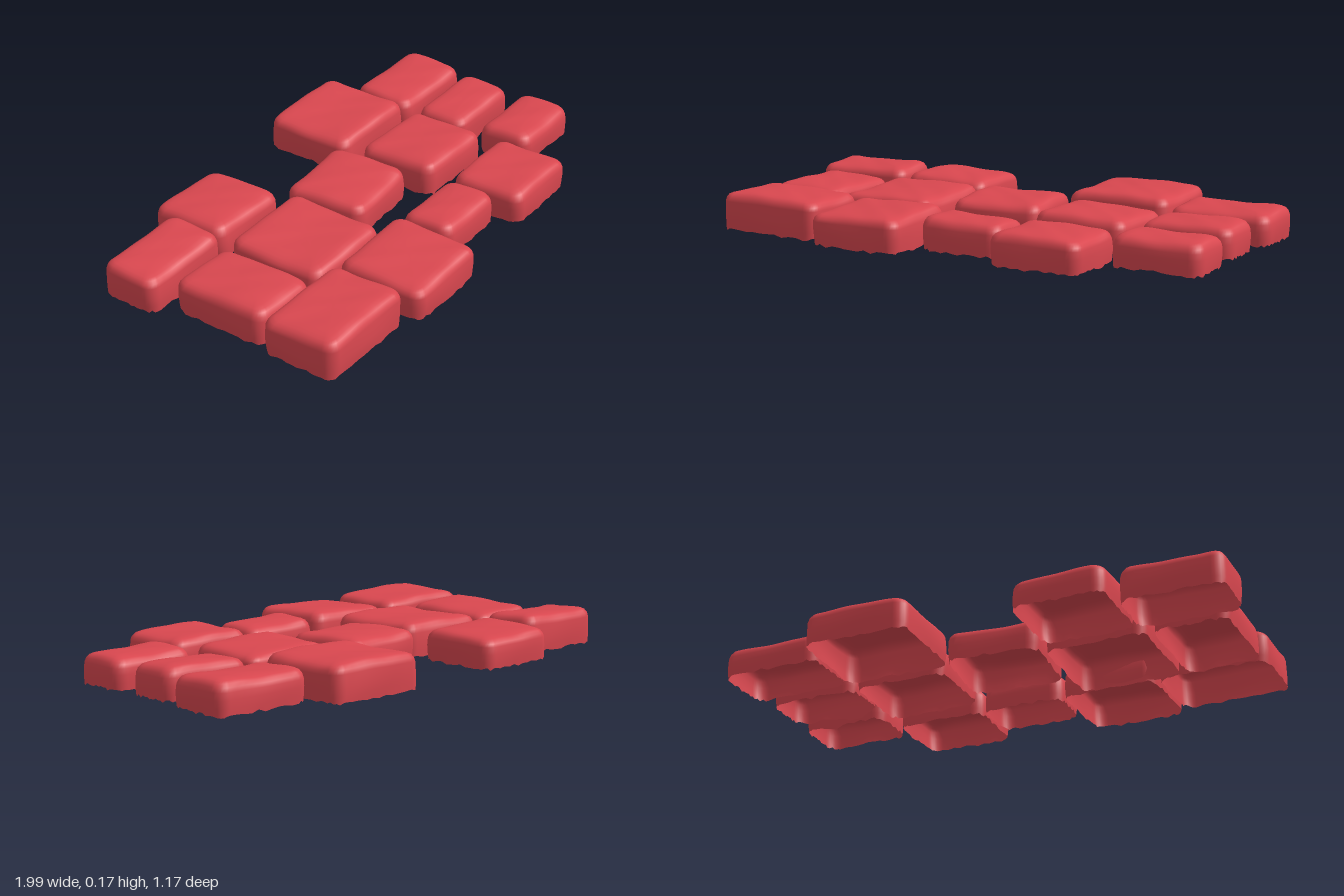
import * as THREE from 'three';

const material = new THREE.MeshStandardMaterial({ color: 0xd9474f, side: THREE.DoubleSide });

// name, x min, x max, z min, z max, top height, turn, optional sag [x, z, depth]
const STONES = [
  ['backStone', -1.0, -0.6, -0.45, -0.21, 0.168, 0],
  ['backStone', -0.597, -0.235, -0.557, -0.225, 0.152, 0],
  ['backStone', 0.155, 0.58, -0.593, -0.21, 0.165, 0],
  ['backStone', 0.585, 0.992, -0.472, -0.21, 0.146, -0.015],
  ['middleStone', -0.925, -0.628, -0.18, 0.22, 0.156, 0],
  ['middleStone', -0.61, -0.205, -0.185, 0.225, 0.154, 0],
  ['turnedStone', -0.193, 0.173, -0.25, 0.088, 0.152, 0.09],
  ['middleStone', 0.207, 0.588, -0.177, 0.158, 0.15, -0.01],
  ['middleStone', 0.592, 0.96, -0.167, 0.05, 0.147, -0.02],
  ['frontStone', 0.615, 0.97, 0.108, 0.335, 0.144, 0.01],
  ['frontStone', -0.942, -0.505, 0.222, 0.532, 0.172, 0],
  ['frontStone', -0.495, -0.112, 0.22, 0.582, 0.156, -0.01],
  ['frontStone', -0.105, 0.232, 0.225, 0.443, 0.149, 0],
  ['frontStone', 0.236, 0.602, 0.228, 0.535, 0.15, 0],
];
STONES[8][7] = [-0.07, 0.11, 0.03];
STONES[9][7] = [0.04, -0.11, 0.018];

const BASE = 0.03, ARC = 6, EDGE = 10;

function seeded(seed) {
  let s = seed * 7919 + 17;
  return () => ((s = (s * 16807) % 2147483647) / 2147483647);
}

// Closed rounded-rectangle loop, with the same point count for every inset
function outline(w, d, inset, radius) {
  const r = Math.max(radius - inset * 0.6, 0.012);
  const hx = w / 2 - inset - r, hz = d / 2 - inset - r;
  const centres = [[hx, hz], [-hx, hz], [-hx, -hz], [hx, -hz]];
  const points = [];
  centres.forEach(([cx, cz], q) => {
    for (let i = 0; i <= ARC; i++) {
      const a = (q + i / ARC) * Math.PI / 2;
      points.push([cx + r * Math.cos(a), cz + r * Math.sin(a)]);
    }
    const a = (q + 1) * Math.PI / 2;
    const from = points[points.length - 1];
    const [nx, nz] = centres[(q + 1) % 4];
    const to = [nx + r * Math.cos(a), nz + r * Math.sin(a)];
    for (let i = 1; i < EDGE; i++) {
      points.push([from[0] + (to[0] - from[0]) * i / EDGE, from[1] + (to[1] - from[1]) * i / EDGE]);
    }
  });
  return points;
}

// Worn stone: a hollow shell, open below, lofted from the ragged rim to the crown
function stoneGeometry(w, d, top, seed, sag) {
  const random = seeded(seed + 1);
  const phase = [0, 1, 2, 3].map(() => random() * Math.PI * 2);
  const profile = [
    [0.003, BASE], [0.001, 0.055], [0, 0.085], [0.002, top - 0.036], [0.007, top - 0.022],
    [0.016, top - 0.011], [0.029, top - 0.005], [0.047, top - 0.001], [0.07, top],
  ];
  const rings = profile.map(([inset, y]) => outline(w, d, inset, 0.047).map(([x, z]) => [x, y, z]));
  const crown = rings[rings.length - 1];
  for (const k of [0.75, 0.5, 0.25]) rings.push(crown.map(([x, , z]) => [x * k, top + 0.001, z * k]));

  const n = crown.length, positions = [], index = [];
  const weather = ([x, y, z], ring) => {
    // gentle bulges on the sides, growing undulation towards the top
    const side = 1 + 0.009 * Math.sin(x * 17 + z * 13 + y * 25 + phase[0]) - 0.009;
    const lift = THREE.MathUtils.smoothstep(y, 0.09, top);
    let ny = y + lift * (0.004 * Math.sin(x * 12 + phase[1]) + 0.004 * Math.sin(z * 14 + phase[2])
      + 0.0012 * Math.sin((x - z) * 38 + phase[3]));
    if (ring === 0) {
      ny += (random() - 0.45) * 0.012;
      if (sag) ny -= sag[2] * Math.exp(-((x - sag[0]) ** 2 + (z - sag[1]) ** 2) / 0.003);
    }
    positions.push(x * side, Math.max(ny, 0), z * side);
  };
  rings.forEach((ring, i) => ring.forEach((p) => weather(p, i)));
  weather([0, top + 0.001, 0], rings.length);

  for (let r = 0; r < rings.length; r++) {
    for (let i = 0; i < n; i++) {
      const j = (i + 1) % n, a = r * n + i, b = r * n + j;
      if (r === rings.length - 1) index.push(a, rings.length * n, b);
      else index.push(a, a + n, b, b, a + n, b + n);
    }
  }
  const geometry = new THREE.BufferGeometry();
  geometry.setAttribute('position', new THREE.Float32BufferAttribute(positions, 3));
  geometry.setIndex(index);
  geometry.computeVertexNormals();
  return geometry;
}

export function createModel() {
  const group = new THREE.Group();
  group.name = 'pavingStones';
  STONES.forEach(([name, x0, x1, z0, z1, top, turn, sag], i) => {
    const stone = new THREE.Mesh(stoneGeometry(x1 - x0, z1 - z0, top, i, sag), material);
    stone.name = name + (i + 1);
    stone.position.set((x0 + x1) / 2, 0, (z0 + z1) / 2);
    stone.rotation.y = turn;
    group.add(stone);
  });
  return group;
}
